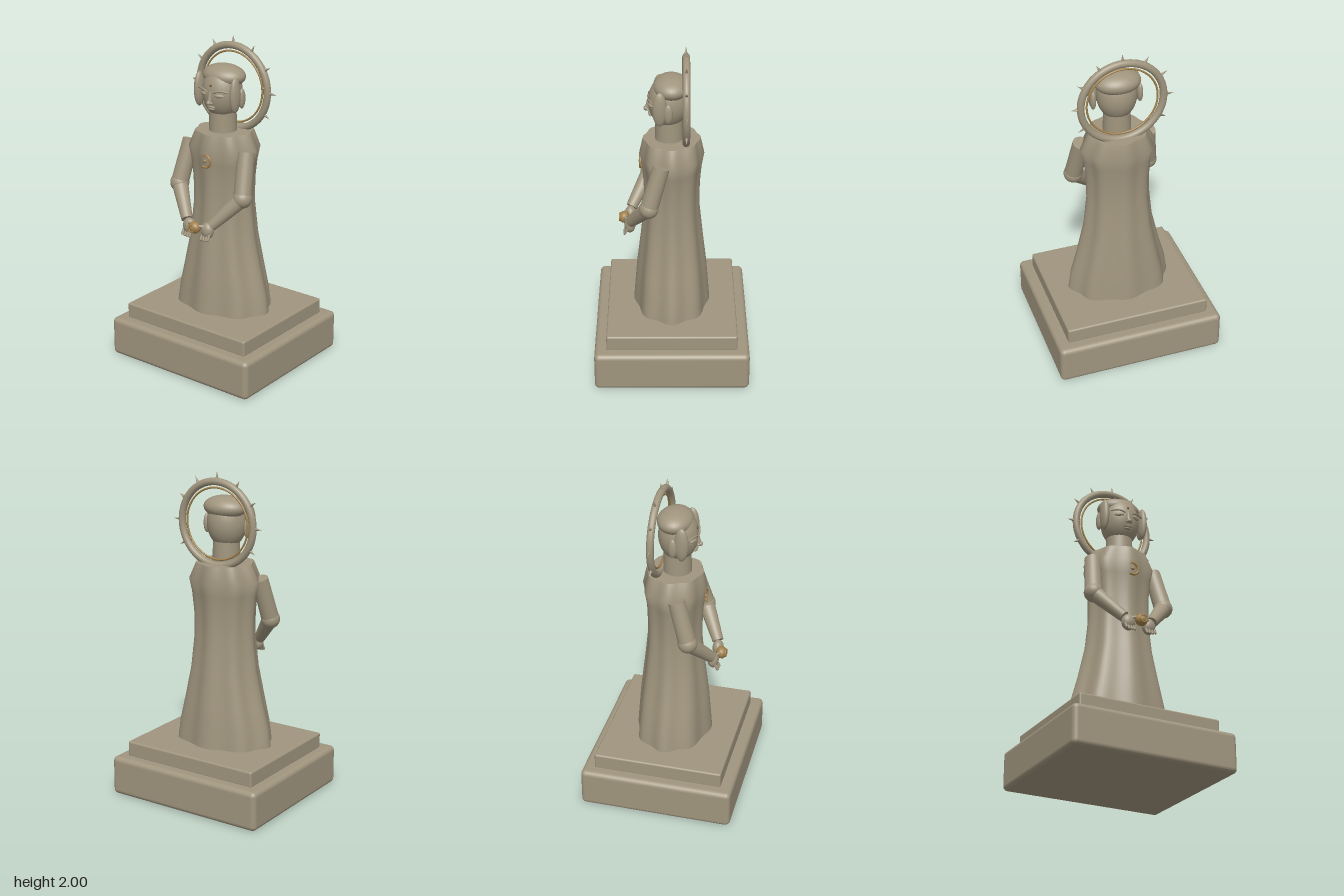
import * as THREE from 'three';
import { RoundedBoxGeometry } from 'three/addons/geometries/RoundedBoxGeometry.js';

const stone = new THREE.MeshStandardMaterial({ color: 0xa0957e });
stone.name = 'stone';
const gold = new THREE.MeshStandardMaterial({ color: 0xa3824c });
gold.name = 'gold';
const brown = new THREE.MeshStandardMaterial({ color: 0x6e5233 });
brown.name = 'brown';

const V = (x, y, z) => new THREE.Vector3(x, y, z);
const UP = V(0, 1, 0);

function add(parent, name, geo, mat, x = 0, y = 0, z = 0) {
  const m = new THREE.Mesh(geo, mat);
  m.name = name;
  m.position.set(x, y, z);
  parent.add(m);
  return m;
}

function ellipsoid(parent, name, mat, pos, rad, seg = 24) {
  const m = add(parent, name, new THREE.SphereGeometry(1, seg, Math.ceil(seg * 0.7)), mat, ...pos);
  m.scale.set(...rad);
  return m;
}

// Tapered cylinder from point a to point b
function limb(parent, name, mat, a, b, ra, rb, seg = 20) {
  const d = b.clone().sub(a);
  const m = add(parent, name, new THREE.CylinderGeometry(rb, ra, d.length(), seg), mat);
  m.position.copy(a).add(b).multiplyScalar(0.5);
  m.quaternion.setFromUnitVectors(UP, d.normalize());
  return m;
}

// Robe: elliptical rings with eight soft folds
function robeGeometry() {
  const rings = [ // height, half width, half depth, fold depth
    [0.33, 0.312, 0.226, 0.04], [0.45, 0.295, 0.217, 0.04], [0.6, 0.255, 0.205, 0.04],
    [0.8, 0.21, 0.182, 0.038], [1.0, 0.19, 0.162, 0.035], [1.15, 0.192, 0.162, 0.035],
    [1.27, 0.205, 0.172, 0.035], [1.35, 0.222, 0.186, 0.035], [1.45, 0.172, 0.165, 0.035],
    [1.45, 0.172, 0.165, 0.035], [1.45, 0, 0, 0],
  ];
  const N = 96, pos = [], idx = [];
  rings.forEach(([y, rx, rz, f], r) => {
    for (let i = 0; i < N; i++) {
      const t = (i / N) * Math.PI * 2;
      const k = 1 + f * Math.cos(8 * t);
      pos.push(Math.sin(t) * rx * k, y, Math.cos(t) * rz * k);
      if (r === rings.length - 1 || r === 8) continue;
      const j = (i + 1) % N, a = r * N + i, b = r * N + j, c = b + N, d = a + N;
      idx.push(a, b, c, a, c, d);
    }
  });
  const g = new THREE.BufferGeometry();
  g.setAttribute('position', new THREE.Float32BufferAttribute(pos, 3));
  g.setIndex(idx);
  g.computeVertexNormals();
  return g;
}

function buildHead() {
  const head = new THREE.Group();
  head.name = 'head';
  add(head, 'neck', new THREE.CylinderGeometry(0.08, 0.085, 0.16, 28), stone, 0, 1.5, 0.015);
  ellipsoid(head, 'skull', stone, [0, 1.685, 0.02], [0.12, 0.157, 0.118], 36);
  ellipsoid(head, 'hairCap', stone, [0, 1.778, 0.003], [0.138, 0.068, 0.106], 32);
  for (const s of [-1, 1]) {
    ellipsoid(head, 'sideHair', stone, [s * 0.132, 1.69, 0.07], [0.026, 0.105, 0.042]);
    ellipsoid(head, 'ear', stone, [s * 0.143, 1.665, 0.02], [0.018, 0.06, 0.026]);
    // brow, eyelid and eye line
    const brow = new THREE.QuadraticBezierCurve3(
      V(s * 0.02, 1.7, 0.137), V(s * 0.06, 1.724, 0.136), V(s * 0.108, 1.708, 0.105));
    add(head, 'brow', new THREE.TubeGeometry(brow, 12, 0.006, 8), stone);
    const lid = ellipsoid(head, 'eyelid', stone, [s * 0.058, 1.685, 0.122], [0.03, 0.011, 0.012], 16);
    lid.rotation.y = s * 0.45;
    const line = new THREE.QuadraticBezierCurve3(
      V(s * 0.035, 1.68, 0.134), V(s * 0.06, 1.672, 0.131), V(s * 0.086, 1.684, 0.112));
    add(head, 'eyeLine', new THREE.TubeGeometry(line, 10, 0.003, 6), stone);
    ellipsoid(head, 'nostril', stone, [s * 0.013, 1.638, 0.141], [0.009, 0.008, 0.01], 12);
  }
  limb(head, 'noseBridge', stone, V(0, 1.64, 0.142), V(0, 1.71, 0.132), 0.015, 0.007, 12);
  ellipsoid(head, 'noseTip', stone, [0, 1.64, 0.15], [0.015, 0.014, 0.015], 16);
  ellipsoid(head, 'upperLip', stone, [0, 1.613, 0.126], [0.03, 0.007, 0.012], 16);
  ellipsoid(head, 'lowerLip', stone, [0, 1.6, 0.123], [0.024, 0.008, 0.012], 16);
  ellipsoid(head, 'foreheadDot', brown, [0, 1.74, 0.13], [0.008, 0.008, 0.006], 12);
  return head;
}

function buildHalo() {
  const halo = new THREE.Group();
  halo.name = 'halo';
  halo.position.set(0, 1.69, -0.083);
  add(halo, 'haloRing', new THREE.TorusGeometry(0.25, 0.022, 16, 72), stone);
  add(halo, 'innerRing', new THREE.TorusGeometry(0.214, 0.006, 8, 72), gold);
  for (let i = -4; i <= 4; i++) {
    const a = (i * Math.PI) / 6;
    const spike = add(halo, 'haloSpike', new THREE.ConeGeometry(0.011, 0.05, 10), stone,
      Math.sin(a) * 0.286, Math.cos(a) * 0.286, 0);
    spike.rotation.z = -a;
  }
  return halo;
}

function buildArm(s) {
  const arm = new THREE.Group();
  arm.name = s > 0 ? 'leftArm' : 'rightArm';
  const shoulder = V(s * 0.207, 1.36, 0.06), elbow = V(s * 0.237, 1.1, 0.135);
  const wrist = V(s * 0.092, 0.93, 0.245);
  limb(arm, 'upperArm', stone, shoulder, elbow, 0.05, 0.054, 24);
  ellipsoid(arm, 'elbow', stone, elbow.toArray(), [0.058, 0.058, 0.058]);
  limb(arm, 'forearm', stone, elbow, wrist, 0.05, 0.034, 24);
  ellipsoid(arm, 'hand', stone, [s * 0.068, 0.896, 0.252], [0.042, 0.05, 0.034]);
  for (let i = 0; i < 4; i++) {
    const x = s * (0.042 + i * 0.018);
    const finger = add(arm, 'finger', new THREE.CapsuleGeometry(0.008, 0.03, 4, 8), stone,
      x, 0.856 + (i === 3 ? 0.006 : 0), 0.277);
    finger.rotation.x = -0.5;
  }
  limb(arm, 'thumb', stone, V(s * 0.06, 0.92, 0.265), V(s * 0.03, 0.925, 0.285), 0.012, 0.008, 10);
  return arm;
}

export function createModel() {
  const model = new THREE.Group();
  model.name = 'statue';

  // stepped plinth
  add(model, 'plinthBase', new RoundedBoxGeometry(1.04, 0.243, 0.935, 4, 0.03), stone, 0, 0.1215, 0);
  add(model, 'plinthStep', new RoundedBoxGeometry(0.9, 0.1, 0.79, 3, 0.012), stone, 0, 0.285, 0);

  add(model, 'robe', robeGeometry(), stone);
  model.add(buildHead(), buildHalo(), buildArm(1), buildArm(-1));

  // crescent brooch
  const brooch = new THREE.Group();
  brooch.name = 'brooch';
  brooch.position.set(0, 1.295, 0.186);
  const crescent = add(brooch, 'crescent', new THREE.TorusGeometry(0.038, 0.007, 10, 32, Math.PI * 1.3), gold);
  crescent.rotation.z = -Math.PI * 0.65;
  ellipsoid(brooch, 'broochBead', gold, [0, 0, 0.002], [0.011, 0.011, 0.009], 14);
  model.add(brooch);

  // offering held between the hands
  const offering = new THREE.Group();
  offering.name = 'offering';
  offering.position.set(0, 0.91, 0.288);
  ellipsoid(offering, 'offeringBall', gold, [0, 0, 0], [0.038, 0.036, 0.033]);
  add(offering, 'offeringRim', new THREE.TorusGeometry(0.022, 0.005, 8, 24), gold, 0, 0, 0.027);
  model.add(offering);

  return model;
}
